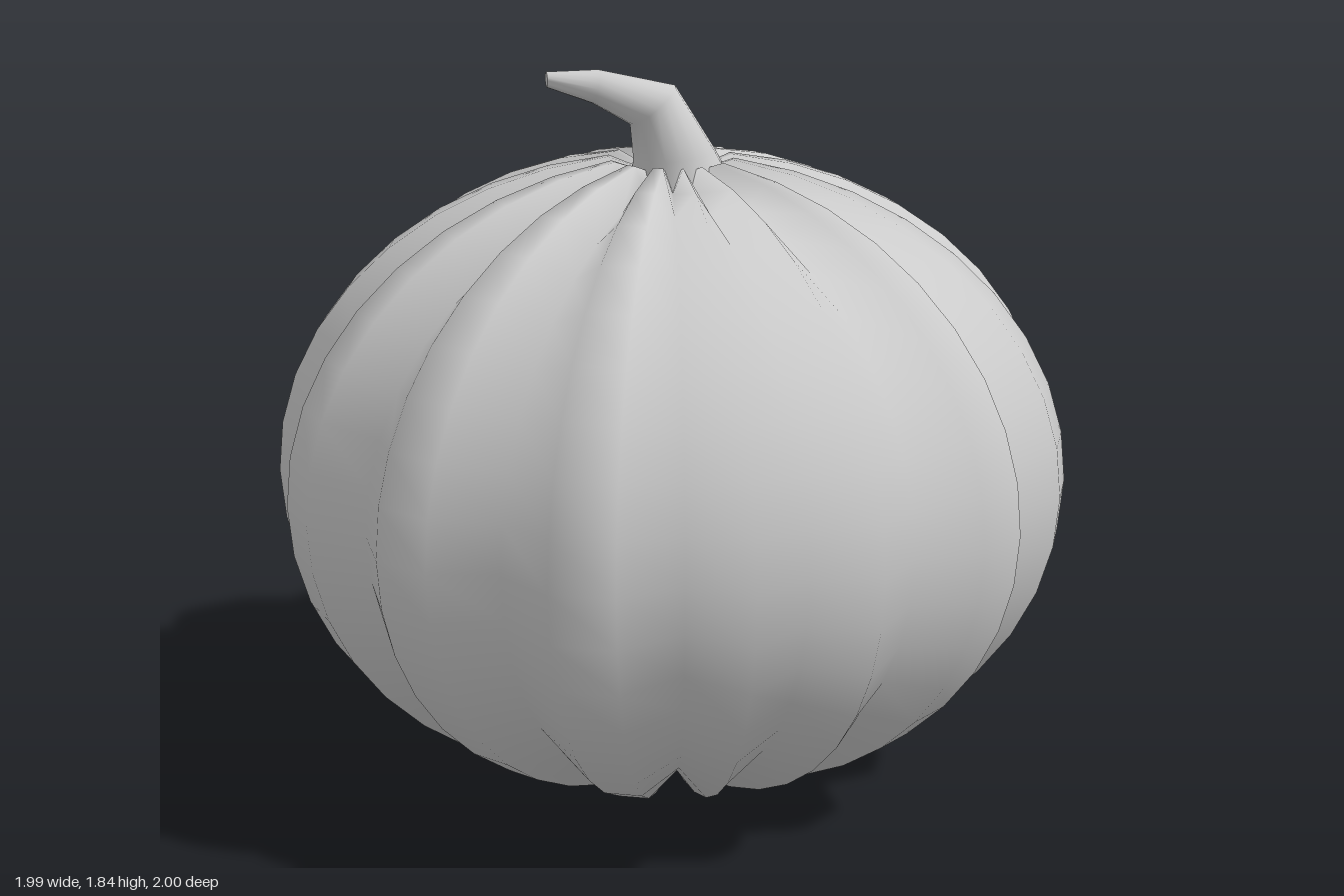
import * as THREE from 'three';
import { mergeVertices, toCreasedNormals } from 'three/addons/utils/BufferGeometryUtils.js';

const SEGMENTS = 40;
const GROOVE = 0.917;

// Ribbed shell: every third meridian is pulled in, plus one extra narrow rib at the front
function makeBody() {
  const geometry = new THREE.SphereGeometry(1, SEGMENTS, 20);
  const p = geometry.attributes.position;
  for (let i = 0; i < p.count; i++) {
    const x = p.getX(i), y = p.getY(i), z = p.getZ(i);
    const turn = Math.round(Math.atan2(x, z) / (2 * Math.PI) * SEGMENTS);
    const meridian = (turn + SEGMENTS) % SEGMENTS;
    const pole = Math.hypot(x, z) < 0.01;
    const groove = pole || meridian === 1 || (meridian > 0 && meridian % 3 === 0);
    const s = groove ? GROOVE : 1;
    p.setXYZ(i, x * s - 0.004, 0.805 + y * s * 0.815, z * s);
  }
  // Weld the seam so the shading stays smooth all round
  geometry.deleteAttribute('uv');
  geometry.deleteAttribute('normal');
  const welded = mergeVertices(geometry, 1e-4);
  welded.computeVertexNormals();
  return welded;
}

// Bent, tapering stalk: a cylinder whose rows are moved onto tilted rings
function makeStem() {
  const rings = [ // centre x, y, z, radius, tilt
    [0.03, 1.50, 0.0, 0.145, 0],
    [0.0, 1.62, 0.02, 0.103, 0.1],
    [-0.06, 1.75, 0.052, 0.073, 0.69],
    [-0.2, 1.798, 0.045, 0.042, 1.4],
    [-0.32, 1.818, 0.04, 0.019, Math.PI / 2],
  ];
  const rows = rings.length - 1;
  const geometry = new THREE.CylinderGeometry(1, 1, 1, 16, rows);
  const p = geometry.attributes.position;
  for (let i = 0; i < p.count; i++) {
    const [cx, cy, cz, r, tilt] = rings[Math.round((p.getY(i) + 0.5) * rows)];
    const u = p.getX(i) * r, w = p.getZ(i) * r;
    p.setXYZ(i, cx + u * Math.cos(tilt), cy + u * Math.sin(tilt), cz + w);
  }
  return toCreasedNormals(geometry, 1);
}

export function createModel() {
  const group = new THREE.Group();
  group.name = 'pumpkin';
  const material = new THREE.MeshStandardMaterial({ color: 0xcccccc });
  const body = new THREE.Mesh(makeBody(), material);
  body.name = 'ribbedBody';
  const stem = new THREE.Mesh(makeStem(), material);
  stem.name = 'stem';
  group.add(body, stem);
  return group;
}
